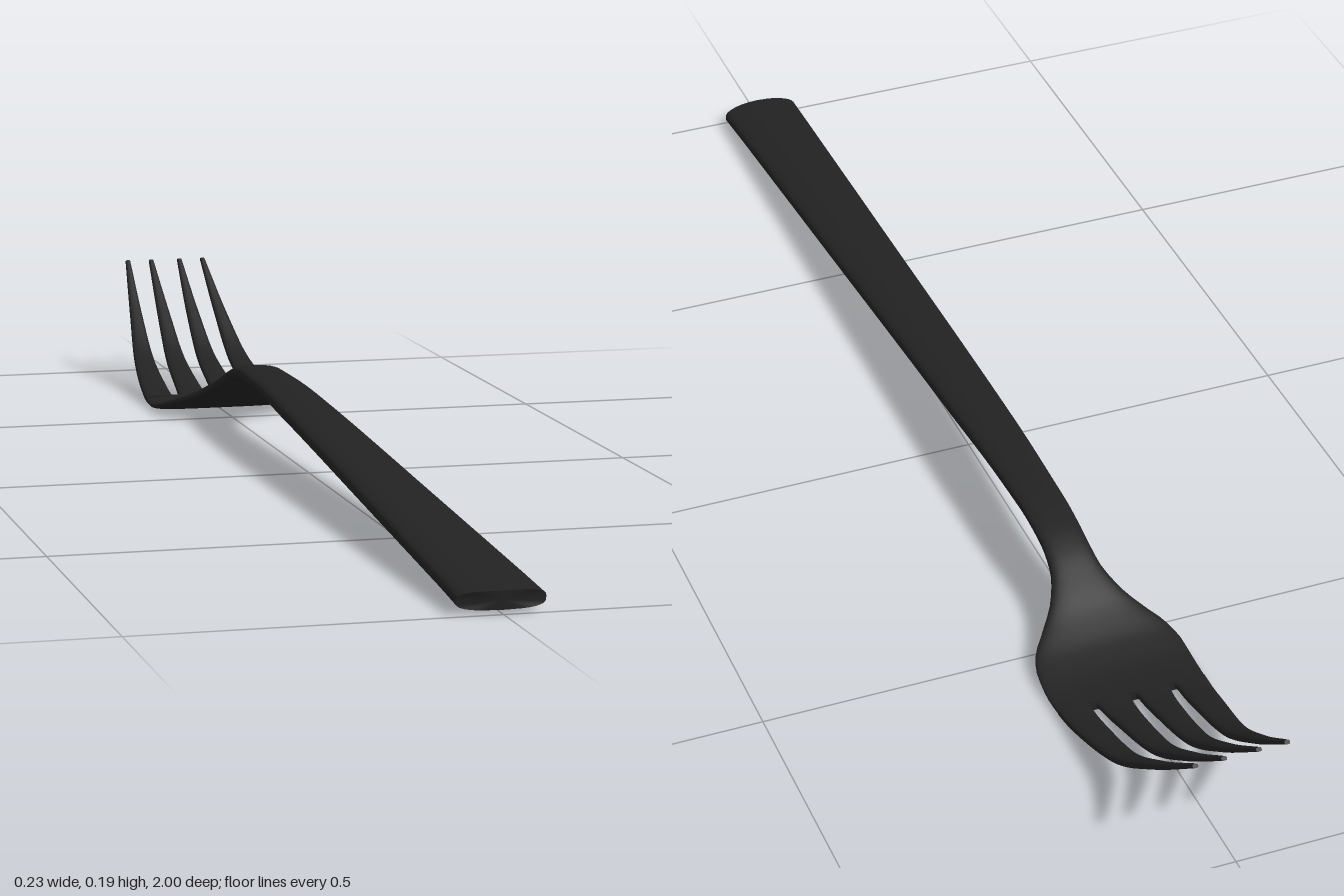
import * as THREE from 'three';

// Smooth monotone curve through [position, value] pairs, positions ascending
function profile(pts) {
  const slope = i => (pts[i + 1][1] - pts[i][1]) / (pts[i + 1][0] - pts[i][0]);
  const last = pts.length - 1;
  const tangent = i => {
    if (i === 0) return slope(0);
    if (i === last) return slope(last - 1);
    const a = slope(i - 1), b = slope(i);
    return a * b <= 0 ? 0 : (2 * a * b) / (a + b);
  };
  return s => {
    let i = 0;
    while (i < last - 1 && s > pts[i + 1][0]) i++;
    const h = pts[i + 1][0] - pts[i][0];
    const t = (s - pts[i][0]) / h, t2 = t * t, t3 = t2 * t;
    return (2 * t3 - 3 * t2 + 1) * pts[i][1] + (t3 - 2 * t2 + t) * h * tangent(i)
      + (3 * t2 - 2 * t3) * pts[i + 1][1] + (t3 - t2) * h * tangent(i + 1);
  };
}

// All profiles run along s = -z, from the handle end (-1) to the tine tips (1)
const height = profile([[-1, 0.02], [-0.5, 0.057], [0, 0.093], [0.2, 0.104], [0.3, 0.105],
  [0.36, 0.099], [0.4, 0.088], [0.45, 0.064], [0.5, 0.037], [0.55, 0.018], [0.61, 0.0085],
  [0.66, 0.012], [0.72, 0.025], [0.8, 0.05], [0.9, 0.114], [1, 0.192]]);
const thickness = profile([[-1, 0.026], [0, 0.026], [0.3, 0.021], [0.5, 0.017], [0.62, 0.015],
  [0.8, 0.013], [1, 0.006]]);
const halfWidth = profile([[-1, 0.061], [0, 0.041], [0.38, 0.033], [0.42, 0.036], [0.46, 0.051],
  [0.5, 0.08], [0.53, 0.102], [0.56, 0.111], [0.6, 0.113], [0.7, 0.108], [0.8, 0.098],
  [0.9, 0.084], [1, 0.07]]);

// Tine edges
const outerTineInside = profile([[0.64, 0.0595], [0.645, 0.063], [0.652, 0.065], [0.8, 0.0645], [1, 0.062]]);
const innerTineOutside = profile([[0.64, 0.0595], [0.645, 0.056], [0.652, 0.054], [0.8, 0.043], [0.9, 0.036], [1, 0.029]]);
const innerTineInside = profile([[0.64, 0], [0.645, 0.004], [0.652, 0.006], [0.8, 0.011], [0.9, 0.015], [1, 0.021]]);

const SIDES = 32;

// Skin between two edge curves: soft crowned top, flatter underside, capped ends
function loft(name, from, to, steps, power, left, right, material) {
  const pos = [], index = [];
  for (let i = 0; i <= steps; i++) {
    const s = from + (to - from) * Math.pow(i / steps, power);
    const tilt = Math.atan((height(s + 0.002) - height(s - 0.002)) / 0.004);
    const cx = (left(s) + right(s)) / 2, w = Math.abs(right(s) - left(s)) / 2;
    const endBow = 0.012 * Math.max(0, (-s - 0.9) / 0.1);
    for (let j = 0; j < SIDES; j++) {
      const a = (j / SIDES) * Math.PI * 2;
      const c = Math.cos(a), q = Math.sin(a);
      const e = q >= 0 ? 2 / 2.7 : 2 / 4;
      const u = Math.sign(c) * Math.pow(Math.abs(c), e);
      const v = Math.sign(q) * Math.pow(Math.abs(q), e) * thickness(s) / 2;
      pos.push(cx + w * u, height(s) + v * Math.cos(tilt), -s + v * Math.sin(tilt) - endBow * u * u);
    }
  }
  for (let i = 0; i < steps; i++) {
    for (let j = 0; j < SIDES; j++) {
      const a = i * SIDES + j, b = i * SIDES + (j + 1) % SIDES;
      index.push(a, a + SIDES, b, b, a + SIDES, b + SIDES);
    }
  }
  // End caps with their own vertices so the rims stay crisp
  for (const [ring, s, front] of [[0, from, true], [steps, to, false]]) {
    const centre = pos.length / 3;
    pos.push((left(s) + right(s)) / 2, height(s), -s);
    for (let j = 0; j < SIDES; j++) {
      const k = (ring * SIDES + j) * 3;
      pos.push(pos[k], pos[k + 1], pos[k + 2]);
    }
    for (let j = 0; j < SIDES; j++) {
      const a = centre + 1 + j, b = centre + 1 + (j + 1) % SIDES;
      index.push(centre, front ? a : b, front ? b : a);
    }
  }
  const geometry = new THREE.BufferGeometry();
  geometry.setAttribute('position', new THREE.Float32BufferAttribute(pos, 3));
  geometry.setIndex(index);
  geometry.computeVertexNormals();
  const mesh = new THREE.Mesh(geometry, material);
  mesh.name = name;
  return mesh;
}

export function createModel() {
  const group = new THREE.Group();
  group.name = 'fork';
  const material = new THREE.MeshStandardMaterial({ color: 0x222222 });

  // Handle, neck and head in one continuous skin
  group.add(loft('handleAndHead', -1, 0.645, 130, 1, s => -halfWidth(s), halfWidth, material));

  // Two mirrored pairs of tines
  for (const [side, label] of [[1, 'left'], [-1, 'right']]) {
    const mirror = edge => s => side * edge(s);
    group.add(loft(label + 'OuterTine', 0.64, 1, 44, 1.5, mirror(outerTineInside), mirror(halfWidth), material));
    group.add(loft(label + 'InnerTine', 0.64, 1, 44, 1.5, mirror(innerTineInside), mirror(innerTineOutside), material));
  }
  return group;
}
